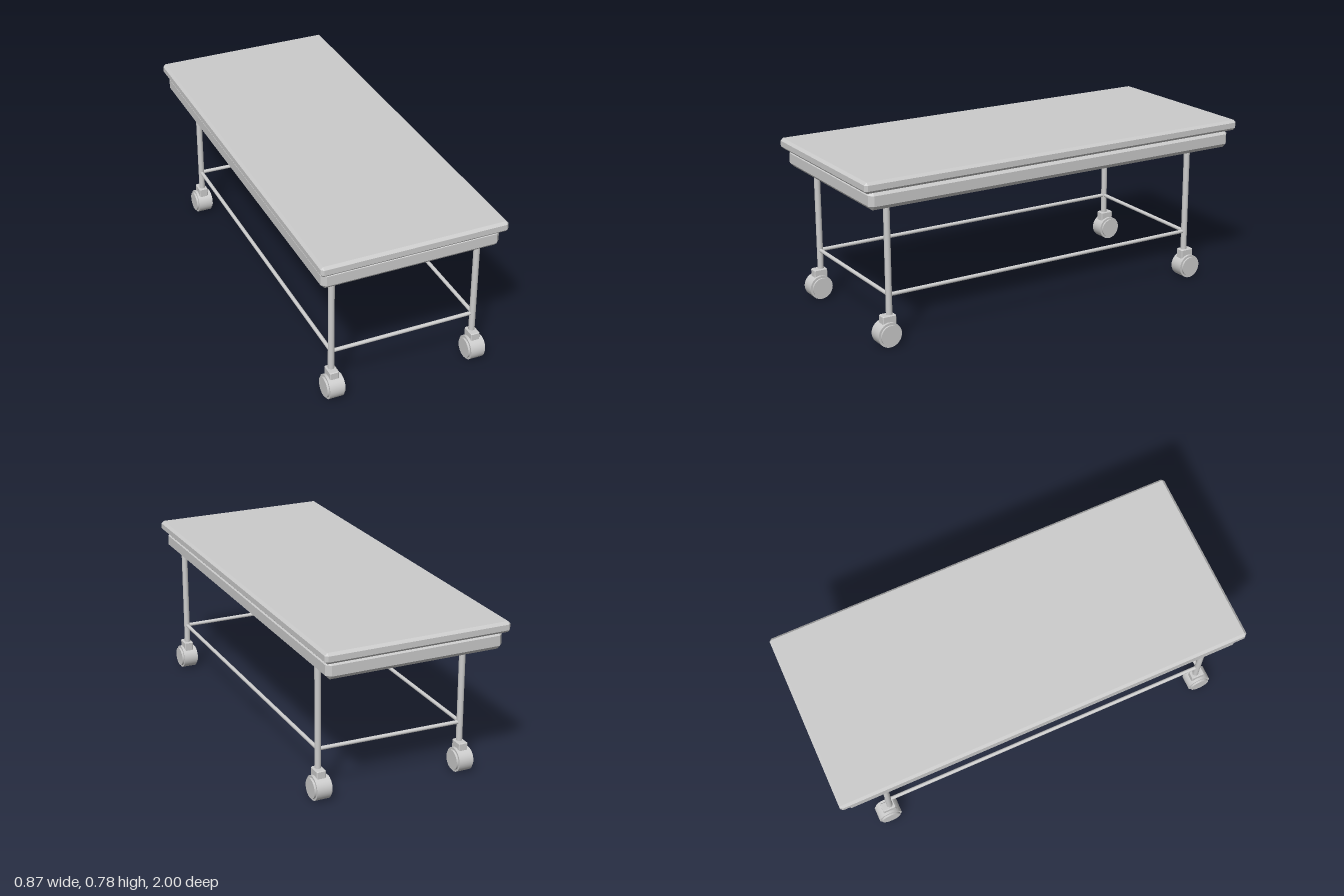
import * as THREE from 'three';
import { ConvexGeometry } from 'three/addons/geometries/ConvexGeometry.js';

const material = new THREE.MeshStandardMaterial({ color: 0xcccccc });

function add(parent, name, geometry, x = 0, y = 0, z = 0) {
  const mesh = new THREE.Mesh(geometry, material);
  mesh.name = name;
  mesh.position.set(x, y, z);
  parent.add(mesh);
  return mesh;
}

// Box with every edge cut by a single flat chamfer
function chamferBox(w, h, d, c) {
  const points = [];
  for (const sx of [-1, 1]) for (const sy of [-1, 1]) for (const sz of [-1, 1]) {
    const x = w / 2, y = h / 2, z = d / 2;
    points.push(
      new THREE.Vector3(sx * x, sy * (y - c), sz * (z - c)),
      new THREE.Vector3(sx * (x - c), sy * y, sz * (z - c)),
      new THREE.Vector3(sx * (x - c), sy * (y - c), sz * z)
    );
  }
  return new ConvexGeometry(points);
}

// Round bar between two points
function bar(parent, name, a, b, radius) {
  const dir = b.clone().sub(a);
  const mesh = add(parent, name, new THREE.CylinderGeometry(radius, radius, dir.length(), 24));
  mesh.position.copy(a).add(b).multiplyScalar(0.5);
  mesh.quaternion.setFromUnitVectors(new THREE.Vector3(0, 1, 0), dir.normalize());
  return mesh;
}

// Caster: bracket, wide wheel and slightly smaller hub caps on an x axle
function makeCaster(outward) {
  const caster = new THREE.Group();
  caster.name = 'caster';
  add(caster, 'casterBracket', chamferBox(0.044, 0.06, 0.066, 0.004), 0, 0.114, outward * 0.008);
  const wheel = new THREE.CylinderGeometry(0.057, 0.057, 0.068, 32).rotateZ(Math.PI / 2);
  const hub = new THREE.CylinderGeometry(0.047, 0.047, 0.086, 32).rotateZ(Math.PI / 2);
  add(caster, 'casterWheel', wheel, 0, 0.058, outward * 0.014);
  add(caster, 'casterHub', hub, 0, 0.058, outward * 0.014);
  return caster;
}

export function createModel() {
  const table = new THREE.Group();
  table.name = 'rollingTable';

  // Top slab and the deeper frame beneath it
  add(table, 'tableTop', chamferBox(0.873, 0.05, 2, 0.012), 0, 0.751, 0);
  add(table, 'tableFrame', chamferBox(0.836, 0.087, 1.94, 0.02), -0.002, 0.6835, 0);

  // Leg positions in order around the table
  const legs = [[-0.333, 0.867], [0.361, 0.867], [0.361, -0.758], [-0.333, -0.774]];

  legs.forEach(([x, z], i) => {
    const [nx, nz] = legs[(i + 1) % legs.length];
    bar(table, 'leg', new THREE.Vector3(x, 0.13, z), new THREE.Vector3(x, 0.65, z), 0.0145);

    // Rail to the next leg
    bar(table, 'rail', new THREE.Vector3(x, 0.234, z), new THREE.Vector3(nx, 0.234, nz), 0.009);

    const caster = makeCaster(Math.sign(z));
    caster.position.set(x, 0, z);
    table.add(caster);
  });

  return table;
}
